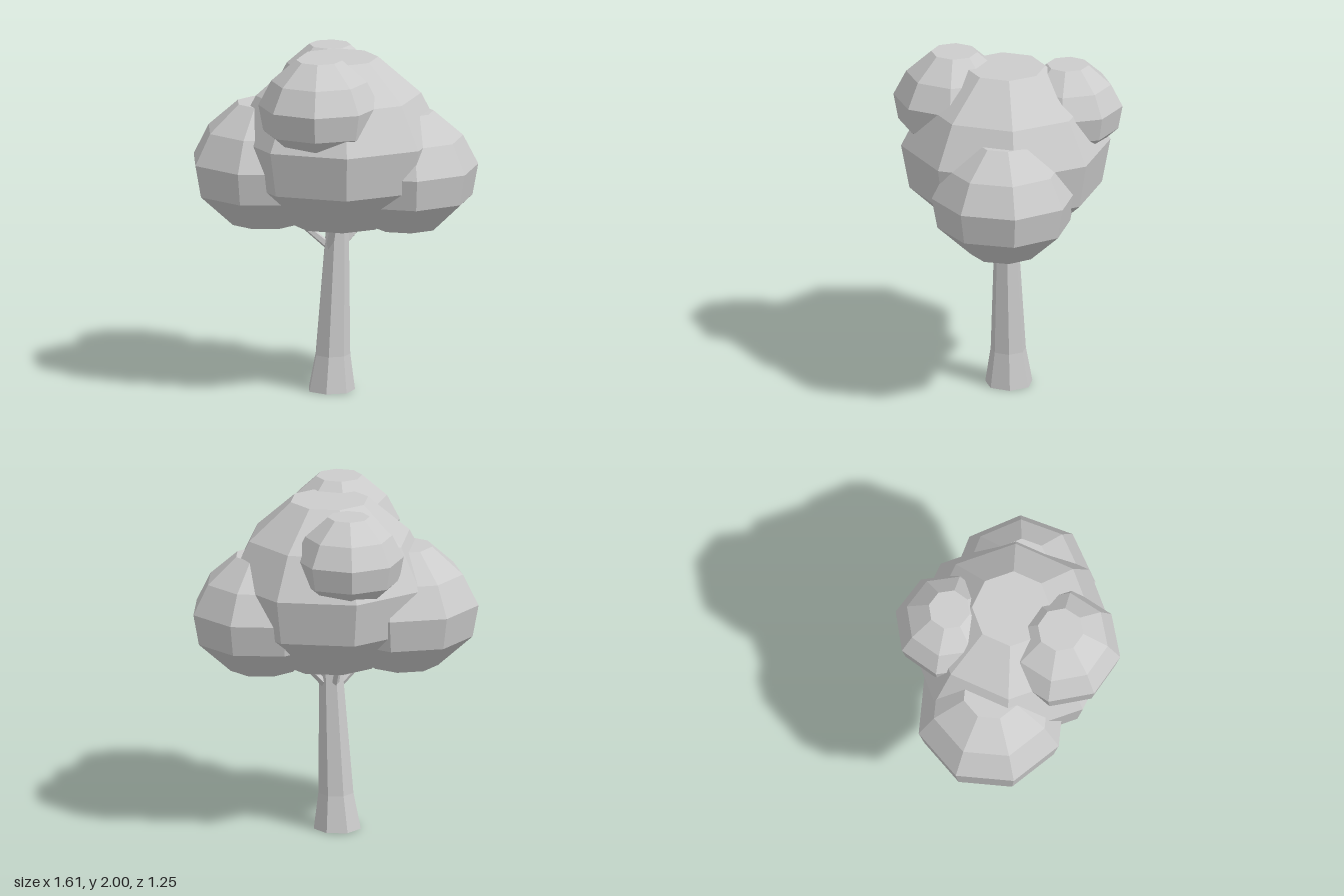
import * as THREE from 'three';

const material = new THREE.MeshStandardMaterial({ color: 0xcccccc, flatShading: true });

// Faceted solid of revolution; one corner of each ring points at `angle` degrees from +x towards +z.
function facetedLathe(profile, sides, angle) {
  const points = profile.map(([r, y]) => new THREE.Vector2(r, y));
  const geometry = new THREE.LatheGeometry(points, sides);
  geometry.rotateY(THREE.MathUtils.degToRad(90 - angle));
  return geometry;
}

function addPart(group, name, geometry) {
  const mesh = new THREE.Mesh(geometry, material);
  mesh.name = name;
  group.add(mesh);
  return mesh;
}

// Leaf clump profile for a radius of 1: flat base, full middle, small flat cap
const CLUMP = [[0, 0], [0.46, 0], [0.92, 0.415], [1, 0.845], [0.79, 1.255], [0.38, 1.615], [0, 1.615]];

export function createModel() {
  const tree = new THREE.Group();
  tree.name = 'tree';

  // Seven-sided trunk, flared at the foot and leaning slightly as it rises
  const trunk = facetedLathe(
    [[0, 0], [0.138, 0], [0.103, 0.21], [0.068, 0.95], [0.064, 1.04], [0, 1.04]], 7, 180);
  const pos = trunk.attributes.position;
  for (let i = 0; i < pos.count; i++) {
    pos.setX(i, pos.getX(i) - 0.012 + 0.04 * pos.getY(i));
  }
  trunk.translate(0, 0, -0.02);
  addPart(tree, 'trunk', trunk);

  // Thin branches running from the trunk into the foliage
  const branches = [
    ['leftBranch', [0.04, 0.84, -0.04], [0.2, 1.06, -0.18]],
    ['rightBranch', [-0.01, 0.84, 0.0], [-0.21, 1.06, 0.15]],
    ['frontBranch', [0.0, 0.84, 0.02], [0.08, 1.06, 0.12]],
    ['backBranch', [0.0, 0.84, -0.05], [-0.06, 1.06, -0.13]],
  ];
  for (const [name, from, to] of branches) {
    const start = new THREE.Vector3(...from);
    const direction = new THREE.Vector3(...to).sub(start);
    const length = direction.length();
    const geometry = new THREE.CylinderGeometry(0.016, 0.024, length, 5);
    geometry.translate(0, length / 2, 0);
    const branch = addPart(tree, name, geometry);
    branch.position.copy(start);
    branch.quaternion.setFromUnitVectors(new THREE.Vector3(0, 1, 0), direction.normalize());
  }

  // Foliage clumps: name, radius, base position, corner angle
  const clumps = [
    ['mainFoliage', 0.6, [0.035, 0.98, -0.02], 16.5],
    ['rightFoliage', 0.435, [-0.375, 0.97, 0.09], 42],
    ['leftFoliage', 0.417, [0.393, 0.963, -0.165], 12.5],
    ['frontFoliage', 0.348, [0.053, 1.438, 0.293], 25.5],
    ['backFoliage', 0.315, [-0.152, 1.436, -0.325], 28],
  ];
  for (const [name, radius, base, angle] of clumps) {
    const profile = CLUMP.map(([r, y]) => [r * radius, y * radius]);
    addPart(tree, name, facetedLathe(profile, 8, angle)).position.set(...base);
  }

  return tree;
}
